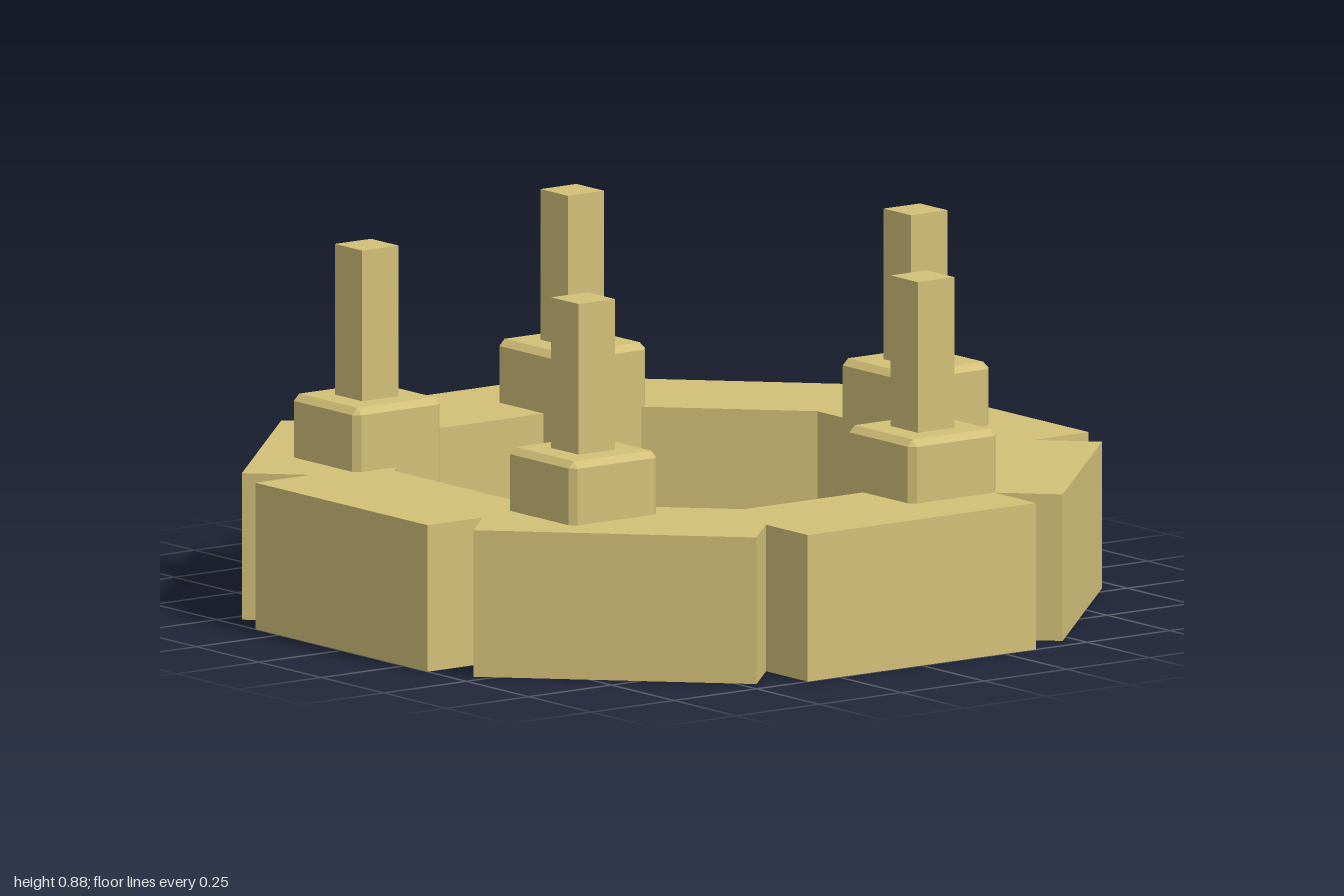
import * as THREE from 'three';
import { ConvexGeometry } from 'three/addons/geometries/ConvexGeometry.js';

// Box with every edge chamfered
function chamferedBox(w, h, d, c) {
  const points = [];
  for (const sx of [-1, 1]) for (const sy of [-1, 1]) for (const sz of [-1, 1]) {
    const x = w / 2, y = h / 2, z = d / 2;
    points.push(
      new THREE.Vector3(sx * x, sy * (y - c), sz * (z - c)),
      new THREE.Vector3(sx * (x - c), sy * y, sz * (z - c)),
      new THREE.Vector3(sx * (x - c), sy * (y - c), sz * z),
    );
  }
  return new ConvexGeometry(points);
}

// Ring outline: eight overlapping blocks with a V notch at each joint
function ringGeometry(height) {
  const half = 0.345, outer = 1, inner = 0.64, step = Math.PI / 4;
  const notch = half / Math.sin(step / 2);
  const corner = inner / Math.cos(step / 2);
  const outline = [], hole = [];
  for (let i = 0; i < 8; i++) {
    const a = i * step, c = Math.cos(a), s = Math.sin(a);
    for (const t of [-half, half]) {
      outline.push(new THREE.Vector2(outer * c - t * s, outer * s + t * c));
    }
    const b = a + step / 2;
    outline.push(new THREE.Vector2(notch * Math.cos(b), notch * Math.sin(b)));
    hole.push(new THREE.Vector2(corner * Math.cos(b), corner * Math.sin(b)));
  }
  const shape = new THREE.Shape(outline);
  shape.holes.push(new THREE.Path(hole));
  const geometry = new THREE.ExtrudeGeometry(shape, { depth: height, bevelEnabled: false });
  geometry.rotateX(-Math.PI / 2);
  return geometry;
}

export function createModel() {
  const model = new THREE.Group();
  const sand = new THREE.MeshStandardMaterial({ color: 0xd2bf78 });
  sand.name = 'sand';

  const ring = new THREE.Mesh(ringGeometry(0.36), sand);
  ring.name = 'ring';
  model.add(ring);

  // Five posts, evenly spaced but all square to the axes
  const holderGeometry = chamferedBox(0.265, 0.36, 0.265, 0.016);
  const poleGeometry = new THREE.BoxGeometry(0.11, 0.37, 0.11);
  for (let i = 0; i < 5; i++) {
    const a = (i * Math.PI * 2) / 5;
    const post = new THREE.Group();
    post.name = 'post' + (i + 1);
    post.position.set(0.737 * Math.cos(a), 0, 0.737 * Math.sin(a));

    const holder = new THREE.Mesh(holderGeometry, sand);
    holder.name = 'holder';
    holder.position.y = 0.335;

    const pole = new THREE.Mesh(poleGeometry, sand);
    pole.name = 'pole';
    pole.position.y = 0.7;

    post.add(holder, pole);
    model.add(post);
  }
  return model;
}
